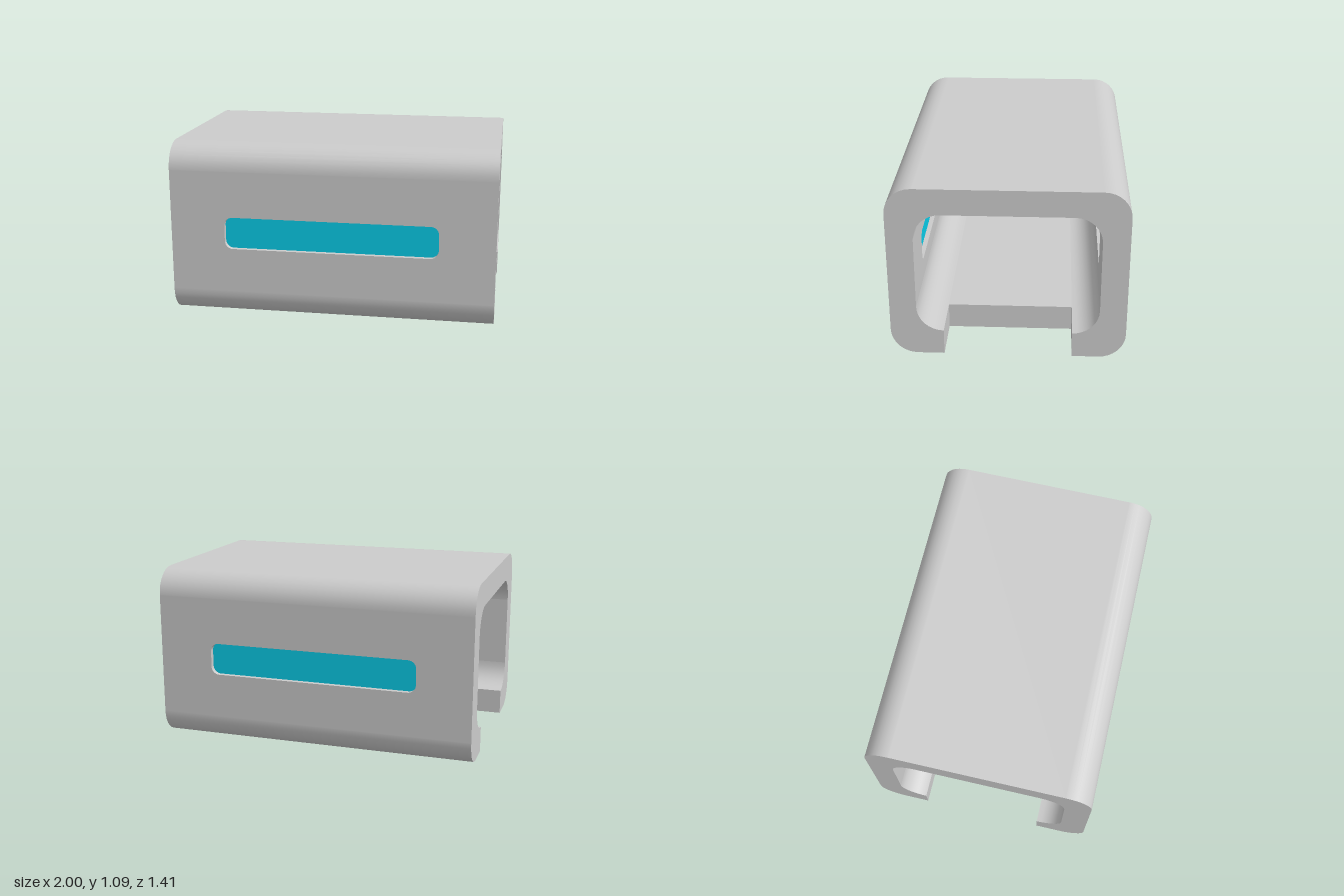
import * as THREE from 'three';
import { toCreasedNormals } from 'three/addons/utils/BufferGeometryUtils.js';

const L = 2, W = 0.705, H = 1.09, T = 0.16, R = 0.16; // length, half width, height, wall, fillet
const IN = W - T, FLAT = IN - R;                       // inner half width, inner flat half width
const LOW = T + R, HIGH = H - T - R;                   // flat band of the inner side walls
const E = 0.006;                                       // keeps fillet shading off the flats
const PI = Math.PI;

const grey = new THREE.MeshStandardMaterial({ color: 0xcccccc });
const cyan = new THREE.MeshStandardMaterial({ color: 0x08cce8 });

function extrude(shape, depth) {
  const g = new THREE.ExtrudeGeometry(shape, { depth, bevelEnabled: false, curveSegments: 4 });
  return toCreasedNormals(g, 0.6);
}

// Extrudes a cross-section (z, y) along the x axis
function alongX(shape) {
  return extrude(shape, L).translate(0, 0, -L / 2).rotateY(PI / 2);
}

function part(name, geometry, material = grey) {
  const mesh = new THREE.Mesh(geometry, material);
  mesh.name = name;
  return mesh;
}

function slotOutline(Outline) {
  const x = 0.66, y0 = 0.44, y1 = 0.64, r = 0.05;
  const p = new Outline();
  p.moveTo(-x + r, y0);
  p.lineTo(x - r, y0);
  p.absarc(x - r, y0 + r, r, -PI / 2, 0);
  p.absarc(x - r, y1 - r, r, 0, PI / 2);
  p.absarc(-x + r, y1 - r, r, PI / 2, PI);
  p.absarc(-x + r, y0 + r, r, PI, PI * 1.5);
  return p;
}

// Roof with both rounded upper corners
function roofShape() {
  const s = new THREE.Shape();
  s.moveTo(W, HIGH);
  s.lineTo(W, H - R - E);
  s.absarc(IN, H - R, R, 0, PI / 2);
  s.lineTo(IN - E, H);
  s.lineTo(-IN + E, H);
  s.absarc(-IN, H - R, R, PI / 2, PI);
  s.lineTo(-W, H - R - E);
  s.lineTo(-W, HIGH);
  s.lineTo(-IN, HIGH);
  s.absarc(-FLAT, HIGH, R, PI, PI / 2, true);
  s.lineTo(-FLAT + E, H - T);
  s.lineTo(FLAT - E, H - T);
  s.absarc(FLAT, HIGH, R, PI / 2, 0, true);
  return s;
}

// Rounded lower corner, running the full length beside the end notches
function cornerShape() {
  const s = new THREE.Shape();
  s.moveTo(FLAT, 0);
  s.lineTo(IN - E, 0);
  s.absarc(IN, R, R, -PI / 2, 0);
  s.lineTo(W, R + E);
  s.lineTo(W, LOW);
  s.lineTo(IN, LOW);
  s.absarc(FLAT, LOW, R, 0, -PI / 2, true);
  return s;
}

// Side wall pierced by the slot
function wallShape() {
  const s = new THREE.Shape();
  s.moveTo(-L / 2, LOW);
  s.lineTo(L / 2, LOW);
  s.lineTo(L / 2, HIGH);
  s.lineTo(-L / 2, HIGH);
  s.closePath();
  s.holes.push(slotOutline(THREE.Path));
  return s;
}

export function createModel() {
  const model = new THREE.Group();
  model.name = 'sleeve';

  model.add(part('roof', alongX(roofShape())));

  // Floor stops short of both ends, leaving the notches
  const floor = part('floor', new THREE.BoxGeometry(1.4, T, FLAT * 2));
  floor.position.y = T / 2;
  model.add(floor);

  const wall = extrude(wallShape(), T).translate(0, 0, IN);
  const corner = alongX(cornerShape()).rotateY(PI);
  const inset = 0.03;
  const panel = extrude(slotOutline(THREE.Shape), T - 2 * inset).translate(0, 0, IN + inset);

  // Front side and its half-turn copy at the back
  ['front', 'back'].forEach((name, i) => {
    const side = new THREE.Group();
    side.name = name + 'Side';
    side.add(part('wall', wall), part('lowerCorner', corner), part('slotPanel', panel, cyan));
    side.rotation.y = i * PI;
    model.add(side);
  });

  return model;
}
